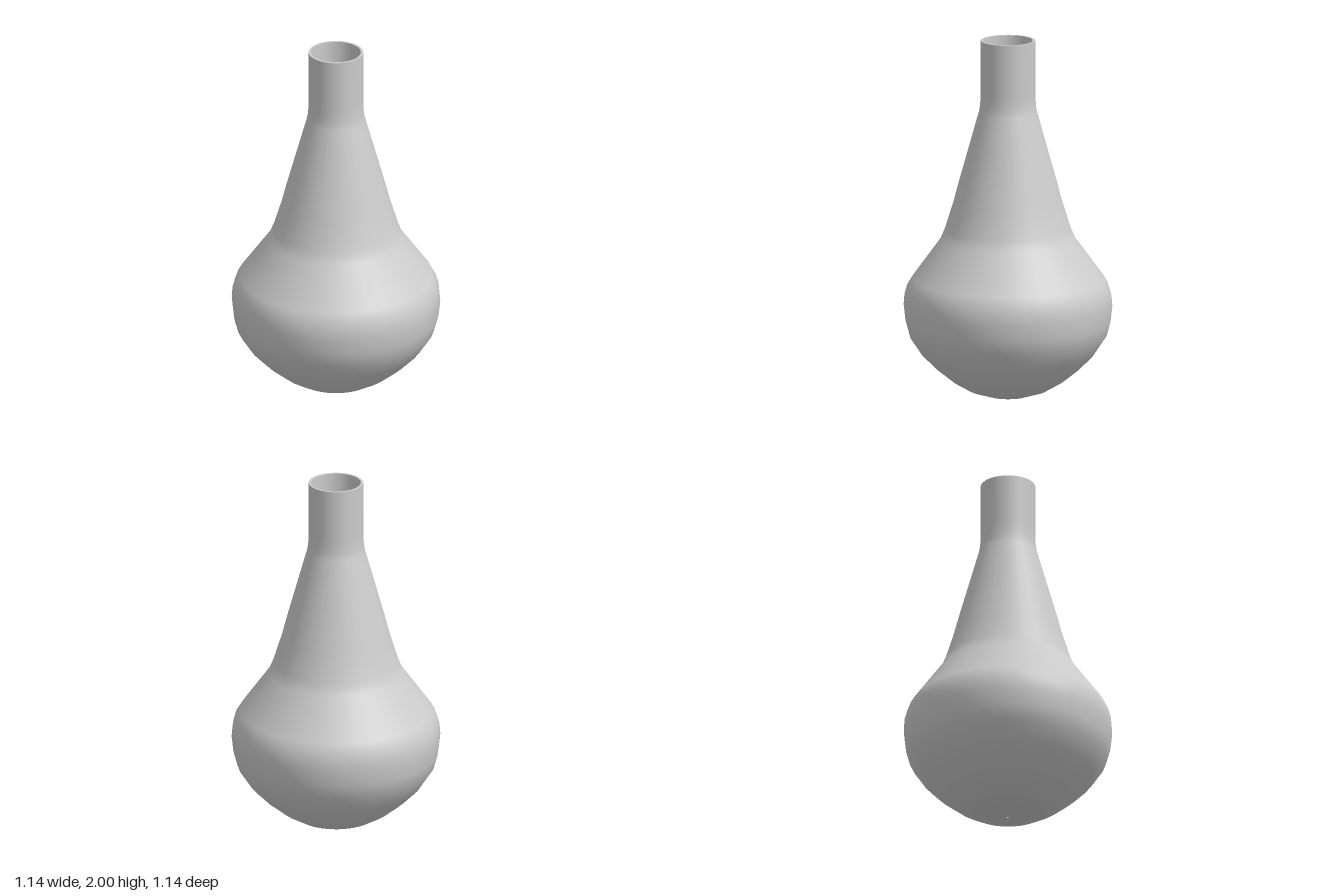
import * as THREE from 'three';

const SEGMENTS = 32;
const WALL = 0.014;

// Outer silhouette as [radius, height], from the small bottom hole to the lip
const PROFILE = [
  [0.008, 0.003], [0.11, 0.015], [0.215, 0.048], [0.305, 0.10], [0.395, 0.172], [0.475, 0.252],
  [0.54, 0.35], [0.562, 0.43], [0.572, 0.52], [0.567, 0.58], [0.553, 0.63], [0.53, 0.67],
  [0.37, 0.89], [0.345, 0.95], [0.32, 1.03], [0.298, 1.10], [0.272, 1.20], [0.16, 1.60],
  [0.154, 1.63], [0.151, 1.67], [0.15, 1.71], [0.15, 2.0],
].map(([r, y]) => new THREE.Vector2(r, y));

// Profile moved inward along its normals
function inset(points, distance) {
  return points.map((p, i) => {
    const a = points[Math.max(i - 1, 0)];
    const b = points[Math.min(i + 1, points.length - 1)];
    const t = b.clone().sub(a).normalize();
    const r = i === 0 ? p.x : p.x - t.y * distance;
    return new THREE.Vector2(r, i === points.length - 1 ? p.y : p.y + t.x * distance);
  });
}

function lathe(name, points, material) {
  const mesh = new THREE.Mesh(new THREE.LatheGeometry(points, SEGMENTS), material);
  mesh.name = name;
  return mesh;
}

export function createModel() {
  const model = new THREE.Group();
  model.name = 'flask';
  const grey = new THREE.MeshStandardMaterial({ color: 0xcccccc });
  const blue = new THREE.MeshStandardMaterial({ color: 0x3344e0 });

  // Hollow vessel: separate lathes keep the lip edges sharp
  const inner = inset(PROFILE, WALL);
  const vessel = new THREE.Group();
  vessel.name = 'vessel';
  vessel.add(
    lathe('outerWall', PROFILE, grey),
    lathe('innerWall', [...inner].reverse(), grey),
    lathe('lip', [PROFILE.at(-1), inner.at(-1)], grey),
    lathe('bottomHole', [inner[0], PROFILE[0]], grey),
  );

  // Liquid filling the bulb up to its widest ring
  const level = 0.53;
  const body = inset(PROFILE, WALL + 0.002).filter((p) => p.y < level);
  body[0].x = 0;
  const edge = new THREE.Vector2(body.at(-1).x, level);
  const liquid = new THREE.Group();
  liquid.name = 'liquid';
  liquid.add(
    lathe('liquidBody', [...body, edge], blue),
    lathe('liquidSurface', [edge, new THREE.Vector2(0, level)], blue),
  );

  model.add(vessel, liquid);
  return model;
}
